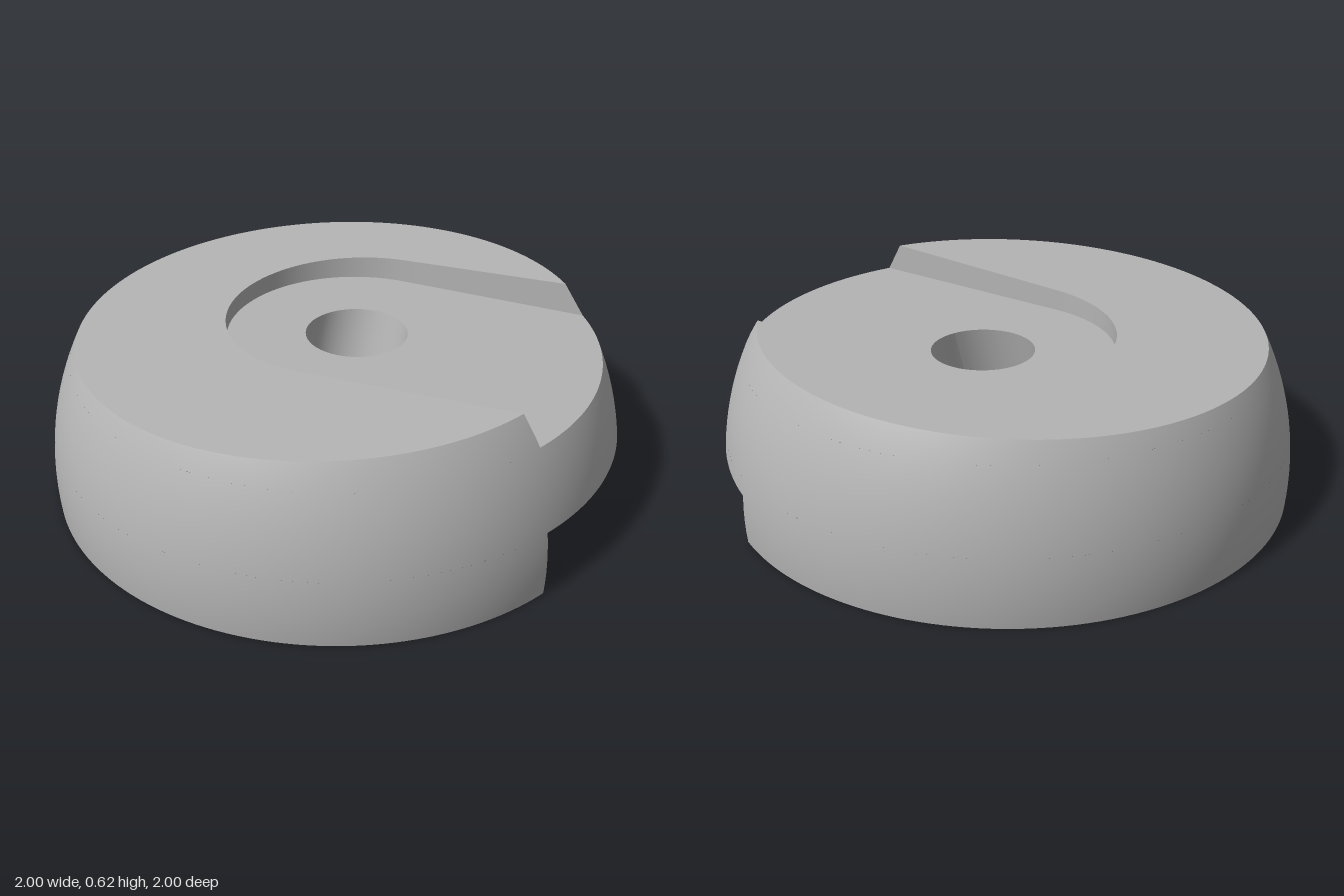
import * as THREE from 'three';
import { mergeGeometries } from 'three/addons/utils/BufferGeometryUtils.js';

// Plan coordinates are (x, w) with w = -z, so angles run anticlockwise seen from above.
const TAU = Math.PI * 2;
const rad = THREE.MathUtils.degToRad;
const V2 = (x, w) => new THREE.Vector2(x, w);
const polar = (a, r = 1) => V2(Math.cos(a) * r, Math.sin(a) * r);

// Heights of the flat faces
const BELT = 0.237, FLOOR = 0.505, MID = 0.1;
const landY = (x, w) => 0.585 + 0.032 * x + 0.024 * w;
const floorY = () => FLOOR;
const baseY = () => 0;
const crease = p => -0.248 * (p.x - 0.64) + 0.968 * (p.y - 0.76);
const roofY = (x, w) => BELT - 0.17 * Math.max(0, crease(V2(x, w)));

// The outer side is a unit sphere centred at height MID
const rimRadius = y => Math.sqrt(1 - (y - MID) ** 2);
function rimAt(angle, yOf) {
  let p = polar(angle, 0.95);
  for (let i = 0; i < 8; i++) p = polar(angle, rimRadius(yOf(p.x, p.y)));
  return p;
}
function rayToRim(p, d, yOf) {
  let q = p.clone();
  const b = p.dot(d);
  for (let i = 0; i < 8; i++) {
    const r = i ? rimRadius(yOf(q.x, q.y)) : 0.95;
    q = p.clone().addScaledVector(d, -b + Math.sqrt(b * b - p.lengthSq() + r * r));
  }
  return q;
}
const rimArc = (a0, a1, yOf, n) =>
  Array.from({ length: n + 1 }, (_, i) => rimAt(a0 + (a1 - a0) * i / n, yOf));

// Slot wall: in from the rim, round the closed end, back out to the rim
function slotPath({ c, r, axis, flare }, yOf) {
  const pts = [], n = 48, steps = 12;
  const a0 = axis + flare + Math.PI / 2, a1 = axis - flare + Math.PI * 1.5;
  for (let i = 0; i <= n; i++) pts.push(polar(a0 + (a1 - a0) * i / n, r).add(c));
  const first = pts[0], last = pts[n];
  const endL = rayToRim(first, polar(axis + flare), yOf);
  const endR = rayToRim(last, polar(axis - flare), yOf);
  const lead = [], tail = [];
  for (let i = 0; i < steps; i++) {
    lead.push(endL.clone().lerp(first, i / steps));
    tail.push(last.clone().lerp(endR, (i + 1) / steps));
  }
  return { pts: [...lead, ...pts, ...tail], a0: endL.angle(), a1: endR.angle() + (endR.angle() < endL.angle() ? TAU : 0) };
}
const landOutline = (path, yOf) =>
  [...rimArc(path.a0, path.a1, yOf, 128), ...path.pts.slice(1, -1).reverse()];
const floorOutline = (path, yOf) =>
  [...path.pts, ...rimArc(path.a1 - TAU, path.a0, yOf, 48).slice(1, -1)];

const circle = (c, r, n = 48) => Array.from({ length: n }, (_, i) => polar(i / n * TAU, r).add(c));

// Keep the part of a polygon on one side of the crease
function clip(pts, sign) {
  const out = [];
  pts.forEach((p, i) => {
    const q = pts[(i + 1) % pts.length], dp = sign * crease(p), dq = sign * crease(q);
    if (dp >= 0) out.push(p);
    if (dp * dq < 0) out.push(p.clone().lerp(q, dp / (dp - dq)));
  });
  return out;
}

// Flat face from an outline, lifted to its height
function plate(outline, holes, yOf, down = false) {
  const shape = new THREE.Shape(outline);
  shape.holes = holes.map(h => new THREE.Path(h));
  const geo = new THREE.ShapeGeometry(shape).rotateX(-Math.PI / 2);
  const pos = geo.attributes.position;
  for (let i = 0; i < pos.count; i++) pos.setY(i, yOf(pos.getX(i), -pos.getZ(i)));
  if (down) geo.index.array.reverse();
  geo.computeVertexNormals();
  return geo;
}

// Surface through rows of points, lowest row first
function loft(rows) {
  const m = rows[0].length, index = [];
  for (let i = 0; i < rows.length - 1; i++)
    for (let j = 0; j < m - 1; j++) {
      const a = i * m + j, d = a + m;
      index.push(a, a + 1, d + 1, a, d + 1, d);
    }
  const geo = new THREE.BufferGeometry().setFromPoints(rows.flat());
  geo.setIndex(index);
  geo.computeVertexNormals();
  return geo;
}
const raise = (pts, yOf) => pts.map(p => new THREE.Vector3(p.x, yOf(p.x, p.y), -p.y));
const innerWall = (lo, loY, hi, hiY) => loft([raise(lo, loY).reverse(), raise(hi, hiY).reverse()]);

// Band of the rounded side between two height rules
function band(lo, loY, hi, hiY, n, rowCount) {
  const low = raise(rimArc(lo.a0, lo.a1, loY, n), loY);
  const high = raise(rimArc(hi.a0, hi.a1, hiY, n), hiY);
  const rows = Array.from({ length: rowCount + 1 }, (_, k) => low.map((p, i) => {
    const q = p.clone().lerp(high[i], k / rowCount);
    const s = rimRadius(q.y) / Math.hypot(q.x, q.z);
    return q.set(q.x * s, q.y, q.z * s);
  }));
  const geo = loft(rows), pos = geo.attributes.position, nor = geo.attributes.normal;
  for (let i = 0; i < pos.count; i++) nor.setXYZ(i, pos.getX(i), pos.getY(i) - MID, pos.getZ(i));
  return geo;
}

export function createModel() {
  const group = new THREE.Group();
  const grey = new THREE.MeshStandardMaterial({ color: 0xb4b4b4 });
  grey.name = 'plain grey';
  const add = (name, geo) => {
    const mesh = new THREE.Mesh(geo, grey);
    mesh.name = name;
    group.add(mesh);
  };

  const upperSlot = { c: V2(0, 0.1), r: 0.455, axis: rad(20), flare: 0 };
  const lowerSlot = { c: V2(0, 0.02), r: 0.5, axis: rad(39.5), flare: rad(15) };
  const topEdge = slotPath(upperSlot, landY), topFoot = slotPath(upperSlot, floorY);
  const baseEdge = slotPath(lowerSlot, baseY), baseRoof = slotPath(lowerSlot, roofY);
  const boreTop = circle(V2(0, 0.105), 0.18), boreBase = circle(V2(0, 0.04), 0.18);
  const pins = [V2(0.42, -0.57), V2(-0.42, 0.55)].map(c => circle(c, 0.12));
  const closed = pts => [...pts, pts[0]];

  // Rounded outer side
  const full = { a0: 0, a1: TAU };
  const mouth = { a0: baseRoof.a1 - TAU, a1: baseRoof.a0 };
  const beltY = () => BELT;
  add('outerSide', mergeGeometries([
    band(full, beltY, full, floorY, 160, 8),
    band(topFoot, floorY, topEdge, landY, 128, 4),
    band(baseEdge, baseY, baseRoof, beltY, 128, 6),
    band(mouth, roofY, mouth, beltY, 48, 1),
  ]));

  // Sloping top with its slot
  add('topFace', plate(landOutline(topEdge, landY), [], landY));
  add('upperSlotFloor', plate(floorOutline(topFoot, floorY), [boreTop], floorY));
  add('upperSlotWall', innerWall(topFoot.pts, floorY, topEdge.pts, landY));

  // Underside with its creased slot
  add('underside', plate(landOutline(baseEdge, baseY), pins, baseY, true));
  const roof = floorOutline(baseRoof, roofY);
  add('lowerSlotRoof', plate(clip(roof, -1), [boreBase], roofY, true));
  add('lowerSlotRamp', plate(clip(roof, 1), [], roofY, true));
  add('lowerSlotWall', innerWall(baseEdge.pts, baseY, baseRoof.pts, roofY));

  // Slanted through bore
  add('bore', innerWall(closed(boreBase), roofY, closed(boreTop), floorY));

  // Blind pin holes
  const pinY = () => 0.3;
  for (const pin of pins) {
    add('pinHoleWall', innerWall(closed(pin), baseY, closed(pin), pinY));
    add('pinHoleEnd', plate(pin, [], pinY, true));
  }
  return group;
}
